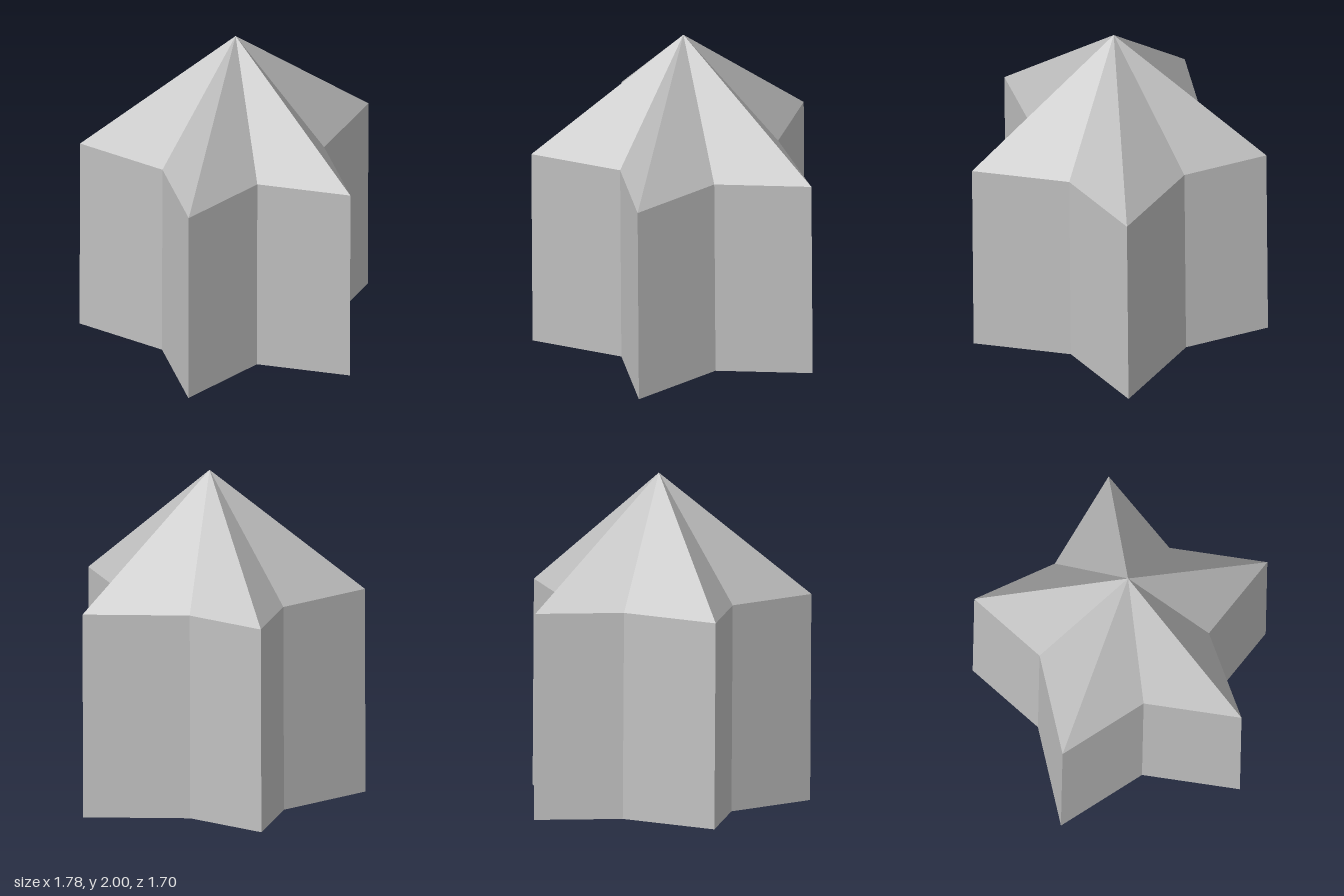
import * as THREE from 'three';

const EAVES = 1.25, APEX = [0, 2, 0.087], CENTRE = [0, 0, 0.08];

// Right half of the star outline as [x, z], from front notch round to back tip
const HALF = [
  [0, 0.57], [0.5, 0.845], [0.5, 0.254],
  [0.892, -0.174], [0.296, -0.406], [0, -0.846],
];

// Full outline: the half plus its mirror image
const OUTLINE = [...HALF, ...HALF.slice(1, -1).reverse().map(([x, z]) => [-x, z])];

// Ring of corners at a height; the walls lean very slightly forward
const ringAt = (y) => OUTLINE.map(([x, z]) => [x, y, z - 0.005 + 0.008 * y]);

// Flat-faced mesh from one group of triangle corners per side of the star
function facetMesh(name, material, cornersOfSide) {
  const points = OUTLINE.flatMap((_, i) => cornersOfSide(i, (i + 1) % OUTLINE.length));
  const geometry = new THREE.BufferGeometry();
  geometry.setAttribute('position', new THREE.Float32BufferAttribute(points.flat(), 3));
  geometry.computeVertexNormals();
  const mesh = new THREE.Mesh(geometry, material);
  mesh.name = name;
  return mesh;
}

export function createModel() {
  const group = new THREE.Group();
  group.name = 'starTower';
  const grey = new THREE.MeshStandardMaterial({ color: 0xc0c0c0 });
  grey.name = 'light grey';

  const low = ringAt(0), high = ringAt(EAVES);
  group.add(
    // Upright sides
    facetMesh('walls', grey, (i, j) => [low[i], low[j], high[j], low[i], high[j], high[i]]),
    // Folded pyramid roof
    facetMesh('roof', grey, (i, j) => [high[i], high[j], APEX]),
    // Underside
    facetMesh('floor', grey, (i, j) => [low[j], low[i], CENTRE]),
  );
  return group;
}
